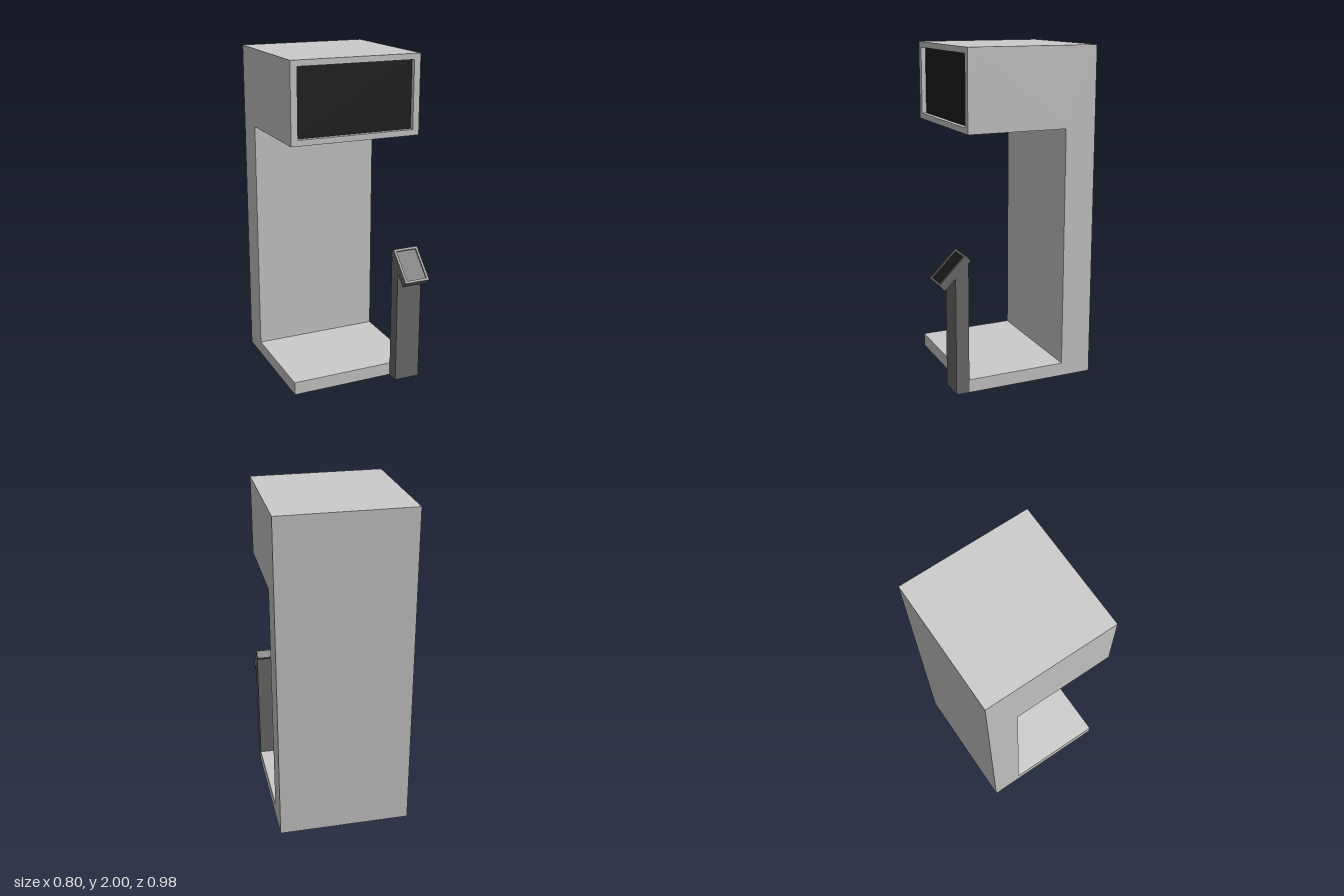
import * as THREE from 'three';

const material = (color) => new THREE.MeshStandardMaterial({ color });

function addMesh(parent, name, geometry, mat, x = 0, y = 0, z = 0) {
  const mesh = new THREE.Mesh(geometry, mat);
  mesh.name = name;
  mesh.position.set(x, y, z);
  parent.add(mesh);
  return mesh;
}

// Side profile given as [z, y] points, extruded across x and centred
function sideExtrude(points, width) {
  const shape = new THREE.Shape(points.map(([z, y]) => new THREE.Vector2(z, y)));
  const geometry = new THREE.ExtrudeGeometry(shape, { depth: width, bevelEnabled: false });
  return geometry.rotateY(-Math.PI / 2).translate(width / 2, 0, 0);
}

// Rectangular plate with a centred rectangular opening, from z = 0 to z = depth
function frame(w, h, holeW, holeH, depth) {
  const rect = (path, a, b) => path.moveTo(-a / 2, -b / 2).lineTo(a / 2, -b / 2)
    .lineTo(a / 2, b / 2).lineTo(-a / 2, b / 2).closePath();
  const shape = rect(new THREE.Shape(), w, h);
  shape.holes.push(rect(new THREE.Path(), holeW, holeH));
  return new THREE.ExtrudeGeometry(shape, { depth, bevelEnabled: false });
}

export function createModel() {
  const model = new THREE.Group();
  model.name = 'kiosk';
  const grey = material(0xcccccc);
  const dark = material(0x6e6e6e);
  const black = material(0x1e1e1e);
  const cyan = material(0x00ffff);

  // C-shaped body: base, back wall and core of the overhanging head
  addMesh(model, 'body', sideExtrude([
    [-0.49, 0], [0.31, 0], [0.31, 0.08], [-0.30, 0.08],
    [-0.30, 1.565], [0.28, 1.565], [0.28, 2], [-0.49, 2],
  ], 0.8), grey);

  // Head front: bezel around a recessed screen
  addMesh(model, 'headBezel', frame(0.8, 0.475, 0.72, 0.405, 0.03), grey, 0, 1.7625, 0.28);
  addMesh(model, 'headScreen', new THREE.PlaneGeometry(0.72, 0.405), black, 0, 1.7625, 0.282);

  // Head underside: frame around a recessed light panel
  const under = frame(0.8, 0.58, 0.54, 0.35, 0.04).rotateX(Math.PI / 2);
  addMesh(model, 'undersideFrame', under, grey, 0, 1.565, -0.01);
  addMesh(model, 'lightPanel', new THREE.PlaneGeometry(0.54, 0.35).rotateX(Math.PI / 2),
    cyan, 0, 1.563, -0.01);

  // Control stand at the front left corner
  const stand = new THREE.Group();
  stand.name = 'controlStand';
  stand.position.x = 0.32;
  model.add(stand);
  addMesh(stand, 'post', sideExtrude(
    [[0.31, 0], [0.39, 0], [0.39, 0.72], [0.31, 0.80]], 0.16), dark);

  // Tilted display on the post
  const display = new THREE.Group();
  display.name = 'tiltedDisplay';
  display.position.set(0, 0.743, 0.3925);
  display.rotation.x = -Math.PI / 4;
  stand.add(display);
  addMesh(display, 'displayCase', new THREE.BoxGeometry(0.16, 0.228, 0.04), dark, 0, 0, -0.005);
  addMesh(display, 'displayBezel', frame(0.16, 0.228, 0.13, 0.198, 0.01), dark, 0, 0, 0.015);
  addMesh(display, 'displayScreen', new THREE.PlaneGeometry(0.13, 0.198), black, 0, 0, 0.017);

  return model;
}
